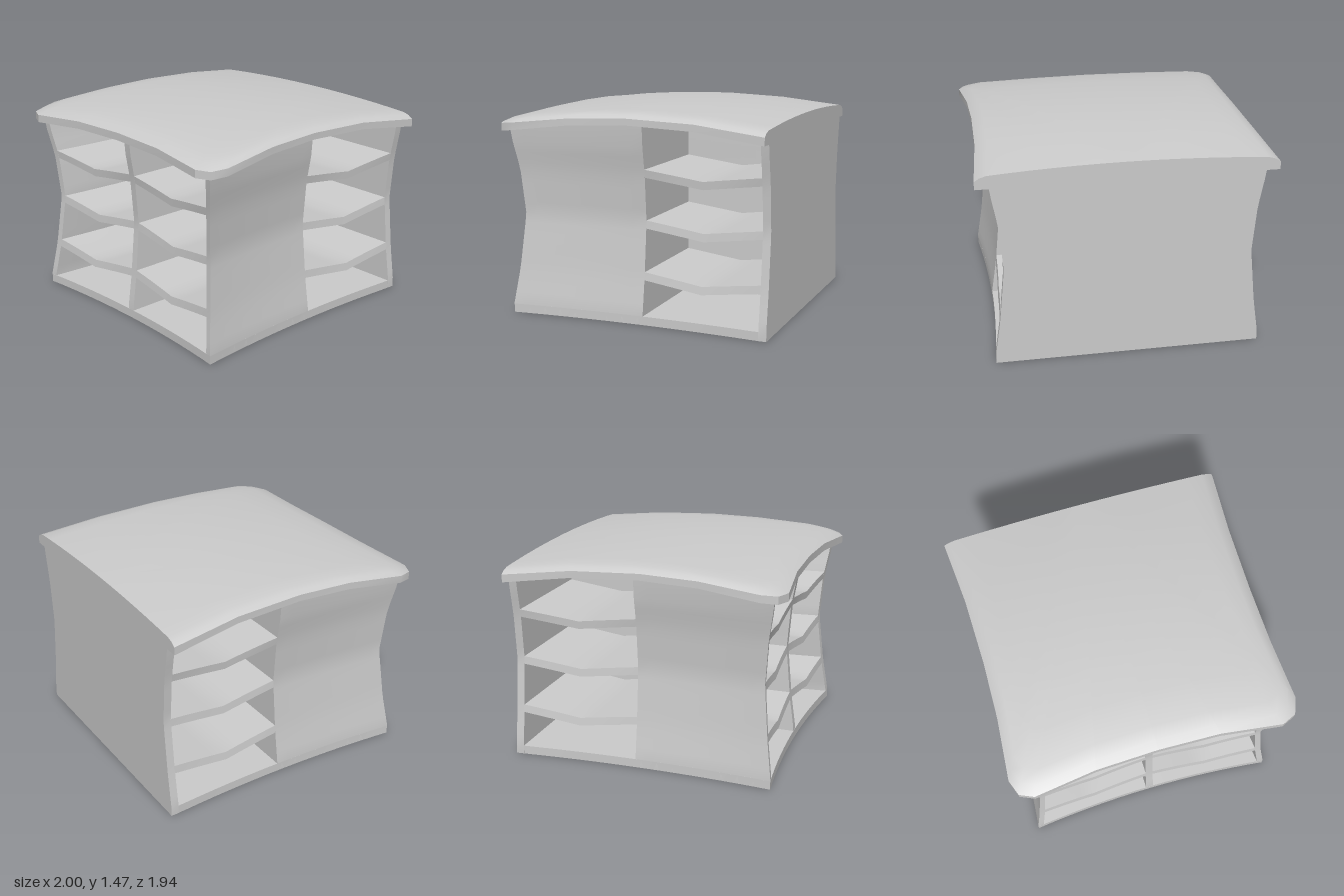
import * as THREE from 'three';
import { toCreasedNormals } from 'three/addons/utils/BufferGeometryUtils.js';

const BACK = -0.97, FRONT = 0.89, SIDE = 0.91, TOP = 1.28;
const material = new THREE.MeshStandardMaterial({ color: 0xcccccc });

// Waisted profile: 1 at the foot and head, 0 at the waist
const waistPoints = [[0, 1], [0.07, 1], [0.32, 0.5], [0.7, 0], [1.02, 0.35], [TOP, 1]];
function waist(y) {
  for (let i = 1; i < waistPoints.length; i++) {
    const [y0, k0] = waistPoints[i - 1], [y1, k1] = waistPoints[i];
    if (y <= y1) return k0 + (k1 - k0) * Math.max(0, (y - y0) / (y1 - y0));
  }
  return 1;
}

// Arched lower and upper surfaces of the counter top
const under = (x, z) => 1.4 - 0.04 * x * x - 0.085 * z * z;
const over = (x, z) => 1.475 - 0.04 * x * x - 0.075 * z * z;

// Bends a straight part into the hollow-sided cabinet shape
function bend(geometry) {
  const p = geometry.attributes.position;
  for (let i = 0; i < p.count; i++) {
    const x = p.getX(i), y = p.getY(i), z = p.getZ(i);
    const k = waist(y);
    const halfWidth = 0.835 + 0.075 * k - 0.045 * Math.max(0, 1 - (z / 0.93) ** 2);
    const depth = 0.82 + 0.07 * k - 0.055 * Math.max(0, 1 - (x / SIDE) ** 2);
    const bx = x * halfWidth / SIDE;
    const bz = z > 0 ? z * depth / FRONT : z;
    p.setXYZ(i, bx, y > TOP - 0.001 ? under(bx, bz) + 0.01 : y, bz);
  }
  return toCreasedNormals(geometry, 0.5);
}

function block(name, [x0, x1], [y0, y1], [z0, z1], segments, sag) {
  const g = new THREE.BoxGeometry(Math.abs(x1 - x0), y1 - y0, z1 - z0, ...segments);
  g.translate((x0 + x1) / 2, (y0 + y1) / 2, (z0 + z1) / 2);
  if (sag) {
    // V-shaped dip across the shelf
    const p = g.attributes.position;
    for (let i = 0; i < p.count; i++) {
      p.setY(i, p.getY(i) - 0.057 * (1 - Math.abs(2 * sag(p.getX(i), p.getZ(i)) - 1)));
    }
  }
  const mesh = new THREE.Mesh(bend(g), material);
  mesh.name = name;
  return mesh;
}

// Counter top lofted through rings of one outline, shrunk towards the back edge
function counterTop() {
  const half = [[1, BACK], [0.96, -0.48], [0.95, 0], [0.96, 0.4], [0.997, 0.82],
    [0.957, 0.925], [0.86, 0.968], [0.43, 0.918]];
  const outline = [...half, [0, 0.907], ...half.slice().reverse().map(([x, z]) => [-x, z])];
  const rings = [];
  for (const s of [0, 0.25, 0.5, 0.75, 1]) rings.push([s, under]);
  const underRings = rings.length - 1;
  rings.push([1, (x, z) => over(x, z) - 0.03], [0.965, (x, z) => over(x, z) - 0.01]);
  for (const s of [0.92, 0.8, 0.65, 0.5, 0.35, 0.18, 0]) rings.push([s, over]);

  const positions = [], index = [], n = outline.length;
  for (const [s, height] of rings) {
    for (const [ox, oz] of outline) {
      const x = ox * s, z = BACK + (oz - BACK) * s;
      positions.push(x, height(x, z), z);
    }
  }
  for (let r = 0; r < rings.length - 1; r++) {
    const count = r < underRings ? n - 1 : n; // the last quad closes the back face
    for (let j = 0; j < count; j++) {
      const a = r * n + j, b = r * n + (j + 1) % n;
      index.push(a, a + n, b, b, a + n, b + n);
    }
  }
  const g = new THREE.BufferGeometry();
  g.setAttribute('position', new THREE.Float32BufferAttribute(positions, 3));
  g.setIndex(index);
  const mesh = new THREE.Mesh(toCreasedNormals(g, 0.5), material);
  mesh.name = 'counterTop';
  return mesh;
}

export function createModel() {
  const model = new THREE.Group();
  model.name = 'shelvedCounter';

  // Base, back panel and inner partitions
  model.add(
    block('base', [-SIDE, SIDE], [0, 0.06], [BACK, FRONT], [16, 1, 16]),
    block('backPanel', [-SIDE, SIDE], [0, TOP], [BACK, -0.915], [12, 18, 1]),
    block('crossPartition', [-0.88, 0.88], [0.03, TOP], [-0.08, -0.03], [12, 18, 1]),
    block('centreDivider', [-0.028, 0.028], [0.03, TOP], [-0.94, FRONT], [1, 18, 16])
  );

  for (const s of [1, -1]) {
    const side = s > 0 ? 'left' : 'right';
    model.add(block(side + 'SideWall', [s * 0.865, s * SIDE], [0, TOP], [-0.08, FRONT], [1, 18, 10]));

    // Three dipped shelves facing the front and three facing the side
    for (const y of [0.36, 0.71, 1.06]) {
      model.add(
        block(side + 'FrontShelf', [s * 0.02, s * 0.88], [y - 0.055, y], [-0.04, FRONT], [8, 1, 8],
          (x) => (Math.abs(x) - 0.02) / 0.86),
        block(side + 'SideShelf', [s * 0.02, s * SIDE], [y - 0.055, y], [-0.92, -0.075], [4, 1, 8],
          (x, z) => (z + 0.92) / 0.845)
      );
    }
  }

  model.add(counterTop());
  return model;
}
